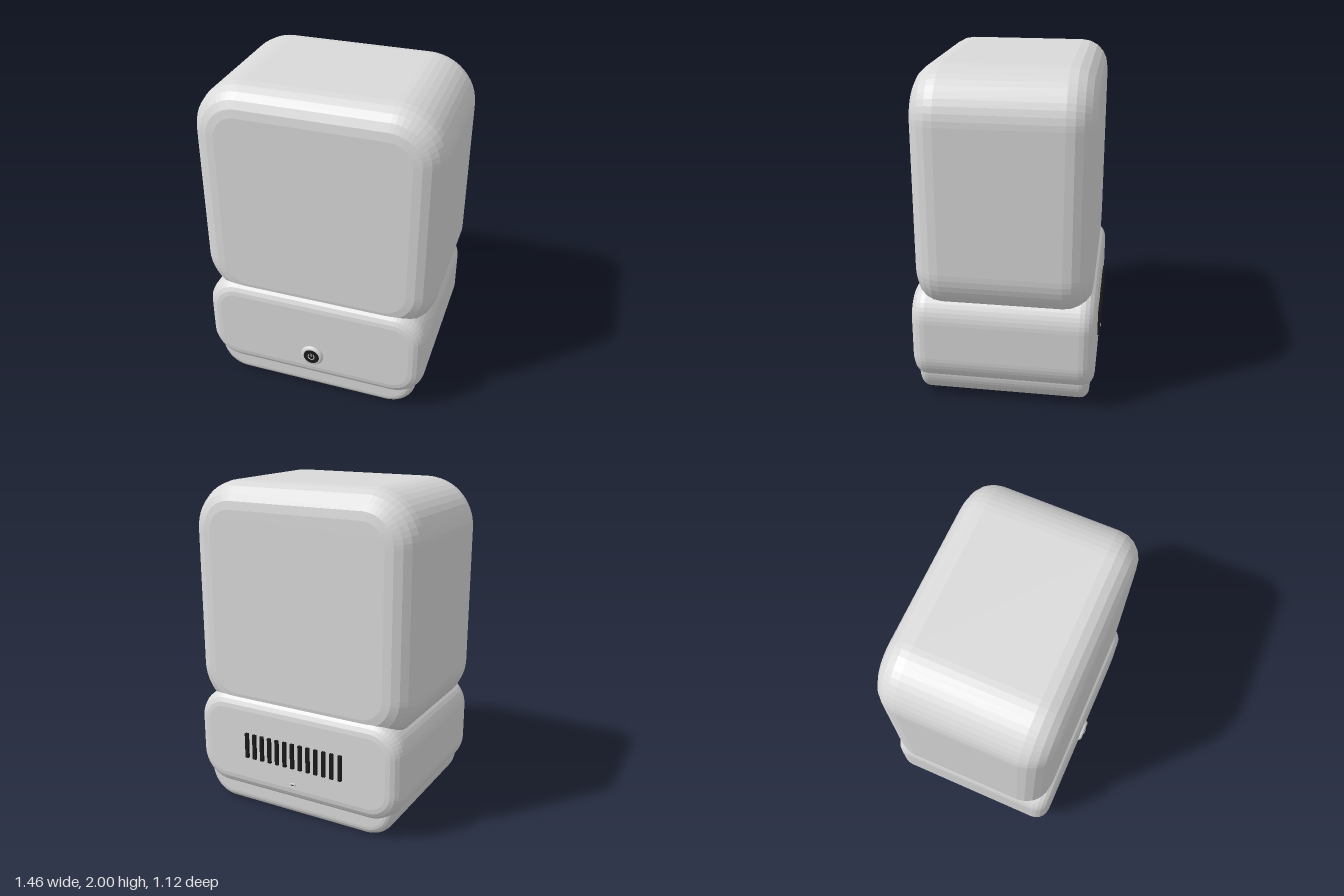
import * as THREE from 'three';

const mat = (name, color) => {
  const m = new THREE.MeshStandardMaterial({ color });
  m.name = name;
  return m;
};

// Rounded rectangle outline centred on the origin
function roundedRect(w, h, r) {
  const x = w / 2 - r, y = h / 2 - r;
  const s = new THREE.Shape();
  s.absarc(x, y, r, 0, Math.PI / 2);
  s.absarc(-x, y, r, Math.PI / 2, Math.PI);
  s.absarc(-x, -y, r, Math.PI, Math.PI * 1.5);
  s.absarc(x, -y, r, Math.PI * 1.5, Math.PI * 2);
  s.closePath();
  return s;
}

// Faceted block: corner radius in the xy plane, bevel along front and back rims
function block(w, h, d, radius, bevel) {
  const geo = new THREE.ExtrudeGeometry(
    roundedRect(w - 2 * bevel, h - 2 * bevel, radius - bevel),
    {
      depth: d - 2 * bevel, curveSegments: 6, bevelEnabled: true,
      bevelSize: bevel, bevelThickness: bevel, bevelSegments: 5,
    });
  return geo.translate(0, 0, bevel - d / 2);
}

export function createModel() {
  const model = new THREE.Group();
  const shell = mat('light grey shell', 0xd9d9d9);
  const dark = mat('near black', 0x1a1a1a);

  const add = (name, geo, material, x, y, z, parent = model) => {
    const mesh = new THREE.Mesh(geo, material);
    mesh.name = name;
    mesh.position.set(x, y, z);
    parent.add(mesh);
    return mesh;
  };

  // Stacked housing
  add('upperBody', block(1.455, 1.44, 1.02, 0.3, 0.16), shell, 0, 1.28, -0.005);
  add('base', block(1.4, 0.62, 1.08, 0.2, 0.09), shell, 0, 0.41, -0.005);
  add('foot', block(1.3, 0.4, 1.02, 0.18, 0.055), shell, 0, 0.2, -0.005);

  // Power button: domed ring, dark cap and a power symbol
  const button = new THREE.Group();
  button.name = 'powerButton';
  button.position.set(0, 0.29, 0.53);
  model.add(button);
  const ringProfile = [[0, 0], [0.072, 0], [0.072, 0.012], [0.066, 0.02], [0.056, 0.025], [0.05, 0.023], [0, 0.023]]
    .map(([r, y]) => new THREE.Vector2(r, y));
  add('buttonRing', new THREE.LatheGeometry(ringProfile, 32).rotateX(Math.PI / 2), shell, 0, 0, 0, button);
  add('buttonCap', new THREE.CylinderGeometry(0.05, 0.05, 0.006, 32).rotateX(Math.PI / 2), dark, 0, 0, 0.023, button);
  const gap = 0.6;
  add('symbolArc',
    new THREE.TorusGeometry(0.02, 0.003, 6, 24, Math.PI * 2 - 2 * gap).rotateZ(Math.PI / 2 + gap),
    shell, 0, 0, 0.026, button);
  add('symbolBar', new THREE.BoxGeometry(0.006, 0.022, 0.005), shell, 0, 0.015, 0.0265, button);

  // Row of vent slats on the back
  const vents = new THREE.Group();
  vents.name = 'rearVents';
  model.add(vents);
  const slat = new THREE.BoxGeometry(0.022, 0.16, 0.02);
  for (let i = -6; i <= 6; i++) add('ventSlat', slat, dark, i * 0.054, 0.41, -0.55, vents);

  // Small charging port under the vents
  const rim = roundedRect(0.038, 0.02, 0.0095);
  rim.holes.push(roundedRect(0.026, 0.01, 0.0045));
  add('portRim', new THREE.ExtrudeGeometry(rim, { depth: 0.016, bevelEnabled: false, curveSegments: 8 }),
    shell, 0, 0.22, -0.557);
  add('portOpening', new THREE.BoxGeometry(0.028, 0.012, 0.006), dark, 0, 0.22, -0.547);

  return model;
}
